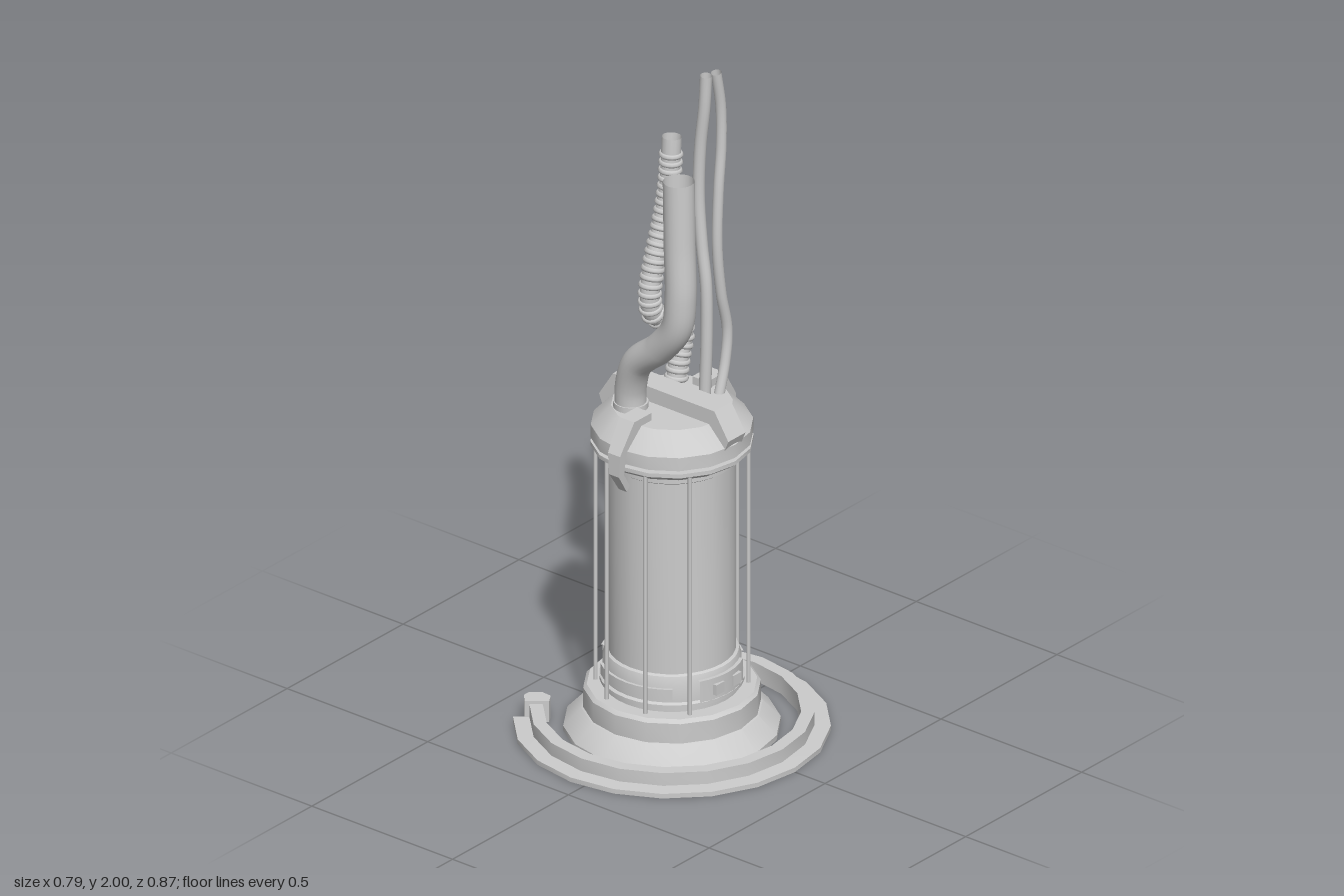
import * as THREE from 'three';
import { toCreasedNormals } from 'three/addons/utils/BufferGeometryUtils.js';

const V = (x, y, z) => new THREE.Vector3(x, y, z);
const P = (a) => a.map(([x, y]) => new THREE.Vector2(x, y));
const rad = THREE.MathUtils.degToRad;
const mat = new THREE.MeshStandardMaterial({ color: 0xcccccc });
const thin = new THREE.MeshStandardMaterial({ color: 0xcccccc, side: THREE.DoubleSide });

export function createModel() {
  const model = new THREE.Group();
  const body = new THREE.Group();
  body.name = 'body';
  body.position.x = -0.044;
  model.add(body);

  const add = (parent, name, geo, material = mat) => {
    const m = new THREE.Mesh(geo, material);
    m.name = name;
    parent.add(m);
    return m;
  };
  const lathe = (name, pts, seg = 16, start = 0, len = Math.PI * 2) =>
    add(body, name, toCreasedNormals(new THREE.LatheGeometry(P(pts), seg, start, len), 0.45));

  // Flared base and drum
  lathe('base', [[0, 0], [0.3, 0], [0.3, 0.015], [0.25, 0.068], [0.245, 0.07],
    [0.245, 0.13], [0.235, 0.14], [0, 0.14]]);

  // Open ring around the base, with its cut ends
  const ringProfile = [[0.355, 0], [0.437, 0], [0.437, 0.014], [0.392, 0.016], [0.392, 0.055], [0.355, 0.055]];
  lathe('ring', [...ringProfile, ringProfile[0]], 16, rad(-54), rad(288));
  for (const deg of [-54, 234]) {
    const end = add(body, 'ringEnd', new THREE.ShapeGeometry(new THREE.Shape(P(ringProfile))), thin);
    end.rotation.y = rad(deg - 90);
  }
  for (const s of [1, -1]) {
    const pts = P([[-0.37, 0.24], [-0.395, 0.213], [-0.395, 0.19], [-0.367, 0.168], [-0.335, 0.17], [-0.318, 0.197]]
      .map(([x, z]) => [x, z * s]));
    const g = new THREE.ExtrudeGeometry(new THREE.Shape(pts), { depth: 0.065, bevelEnabled: false });
    g.rotateX(-Math.PI / 2);
    add(model, 'ringStop', g);
  }

  // Lower collar with long panels front and back, small studs on the sides
  lathe('collar', [[0.19, 0.135], [0.19, 0.15], [0.2, 0.155], [0.2, 0.165], [0.192, 0.17], [0.192, 0.22],
    [0.184, 0.245], [0.17, 0.252]], 32);
  const panel = (deg, half, y0, y1, r, name) =>
    lathe(name, [[0.185, y0], [r, y0], [r, y1], [0.185, y1]], Math.max(2, Math.round(half / 5)),
      rad(deg - half), rad(half * 2));
  for (const deg of [0, 180]) {
    panel(deg, 40, 0.18, 0.213, 0.2, 'longPanel');
    panel(deg + 90, 28, 0.155, 0.23, 0.199, 'sidePlate');
    for (const z of [-0.037, 0.037]) {
      const stud = add(body, 'stud', new THREE.BoxGeometry(0.03, 0.032, 0.034));
      stud.position.set(deg ? -0.188 : 0.188, 0.196, z);
    }
  }

  // Main tube
  lathe('tube', [[0.176, 0.23], [0.176, 0.835], [0.183, 0.84], [0.183, 0.88]], 32);

  // Guard rods, clustered to front and back
  for (const deg of [19, 53, 127, 161, 199, 233, 307, 341]) {
    const rod = add(body, 'rod', new THREE.CylinderGeometry(0.006, 0.006, 0.75, 8));
    rod.position.set(0.21 * Math.sin(rad(deg)), 0.51, 0.21 * Math.cos(rad(deg)));
  }

  // Cap
  lathe('cap', [[0.17, 0.85], [0.2, 0.86], [0.225, 0.878], [0.225, 0.89], [0.205, 0.89], [0.205, 0.9],
    [0.224, 0.9], [0.224, 0.94], [0.168, 0.998], [0, 0.998]]);

  // Bar across the cap
  const bar = new THREE.Shape(P([[-0.205, 0.905], [0.205, 0.905], [0.23, 0.965], [0.18, 1.043],
    [-0.18, 1.043], [-0.23, 0.965]]));
  const barGeo = new THREE.ExtrudeGeometry(bar, { depth: 0.074, bevelEnabled: false });
  barGeo.translate(0, 0, -0.038);
  add(body, 'crossbar', barGeo);

  // Clips hooked over the cap at front and back, narrowing downwards
  const clip = new THREE.Shape(P([[0.12, 0.99], [0.17, 0.985], [0.222, 0.935], [0.228, 0.87], [0.2, 0.825],
    [0.212, 0.81], [0.25, 0.87], [0.25, 0.935], [0.195, 1.022], [0.12, 1.022]]));
  const clipGeo = new THREE.ExtrudeGeometry(clip, { depth: 1, bevelEnabled: false });
  clipGeo.translate(0, 0, -0.5);
  const pos = clipGeo.attributes.position;
  for (let i = 0; i < pos.count; i++) {
    pos.setZ(i, pos.getZ(i) * (0.028 + (pos.getY(i) - 0.81) * 0.12));
  }
  clipGeo.computeVertexNormals();
  for (const s of [1, -1]) add(body, 'clip', clipGeo).rotation.y = -s * Math.PI / 2;

  // Cables
  const curveOf = (pts) => new THREE.CatmullRomCurve3(pts.map((p) => V(...p)));
  const cable = (name, pts, r, sides = 14) => {
    const curve = curveOf(pts);
    add(model, name, new THREE.TubeGeometry(curve, 60, r, sides), thin);
    return curve;
  };

  cable('thickPipe', [[-0.118, 0.98, 0.088], [-0.115, 1.06, 0.092], [-0.08, 1.15, 0.105], [0.015, 1.235, 0.12],
    [0.08, 1.32, 0.13], [0.097, 1.42, 0.134], [0.092, 1.58, 0.132], [0.087, 1.775, 0.13]], 0.044, 20);
  const foot = add(model, 'pipeFoot', new THREE.CylinderGeometry(0.049, 0.049, 0.02, 20));
  foot.position.set(-0.118, 1.005, 0.088);

  cable('thinCable', [[0.012, 0.98, -0.072], [0.02, 1.2, -0.072], [0.018, 1.35, -0.072], [0.003, 1.47, -0.072],
    [-0.008, 1.62, -0.072], [-0.003, 1.77, -0.072], [0.012, 1.9, -0.072], [0.018, 1.998, -0.072]], 0.017);
  cable('wavyCable', [[0.018, 0.98, -0.125], [0.018, 1.09, -0.155], [0.018, 1.18, -0.163], [0.018, 1.3, -0.137],
    [0.018, 1.45, -0.12], [0.018, 1.62, -0.125], [0.018, 1.76, -0.137], [0.018, 1.88, -0.135],
    [0.018, 1.99, -0.115]], 0.015);

  // Ribbed hose: plain tube with rings strung along it
  const hose = cable('hose', [[-0.123, 0.98, -0.11], [-0.123, 1.06, -0.125], [-0.123, 1.14, -0.143],
    [-0.123, 1.19, -0.115], [-0.123, 1.21, -0.06], [-0.123, 1.24, -0.015], [-0.123, 1.3, 0],
    [-0.123, 1.4, -0.02], [-0.123, 1.5, -0.055], [-0.123, 1.61, -0.083], [-0.123, 1.755, -0.095]], 0.028);
  const ringGeo = new THREE.TorusGeometry(0.027, 0.008, 6, 16);
  const count = 34;
  for (let i = 0; i < count; i++) {
    const t = 0.03 + (0.91 * i) / (count - 1);
    const rib = add(model, 'hoseRib', ringGeo);
    rib.position.copy(hose.getPointAt(t));
    rib.quaternion.setFromUnitVectors(V(0, 0, 1), hose.getTangentAt(t));
  }
  return model;
}
